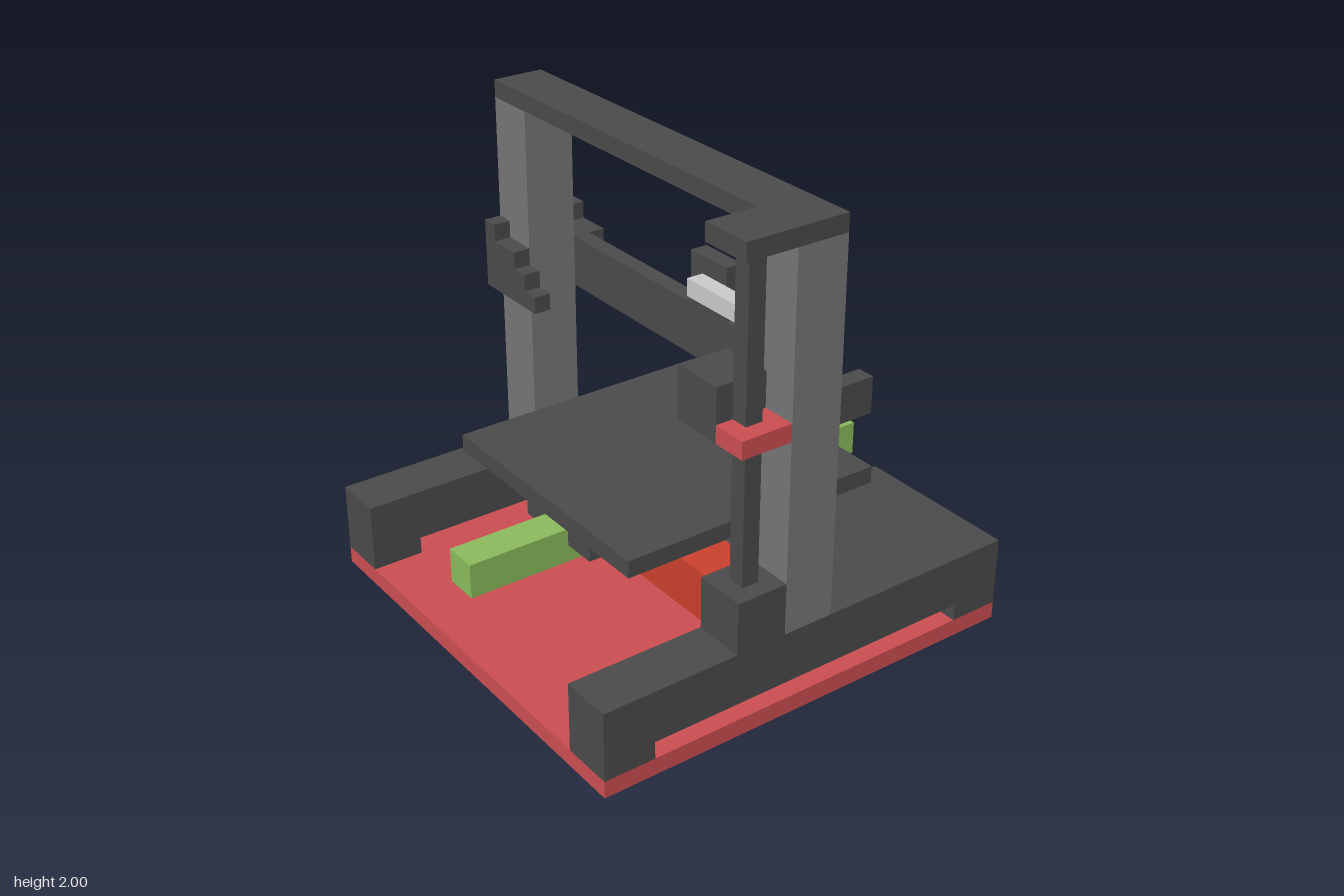
import * as THREE from 'three';

const U = 2 / 27; // grid unit: the printer is 27 units tall

export function createModel() {
  const model = new THREE.Group();
  model.name = 'printer';

  const mat = (name, color) => {
    const m = new THREE.MeshStandardMaterial({ color });
    m.name = name;
    return m;
  };
  const dark = mat('dark grey', 0x4a4a4a);
  const grey = mat('mid grey', 0x757575);
  const light = mat('light grey', 0xc9c9c9);
  const red = mat('red', 0xca4d51);
  const orange = mat('orange red', 0xc9402c);
  const green = mat('green', 0x89b95b);
  const blue = mat('blue', 0x237c91);

  // Box between two corners, in grid units
  const box = (name, material, [x0, x1], [y0, y1], [z0, z1]) => {
    const geo = new THREE.BoxGeometry((x1 - x0) * U, (y1 - y0) * U, (z1 - z0) * U);
    const mesh = new THREE.Mesh(geo, material);
    mesh.position.set((x0 + x1) * U / 2, (y0 + y1) * U / 2, (z0 + z1) * U / 2);
    mesh.name = name;
    model.add(mesh);
    return mesh;
  };

  // Outline in the given plane, extruded to a depth, in grid units
  const slab = (name, material, points, depth) => {
    const shape = new THREE.Shape(points.map(([a, b]) => new THREE.Vector2(a * U, b * U)));
    const geo = new THREE.ExtrudeGeometry(shape, { depth: depth * U, bevelEnabled: false });
    const mesh = new THREE.Mesh(geo, material);
    mesh.name = name;
    model.add(mesh);
    return mesh;
  };

  // Base and frame
  box('basePlate', red, [-13, 13], [0, 1], [-13, 13]);
  const railOutline = [[-13, 1], [-10, 1], [-10, 2], [10, 2], [10, 1], [13, 1], [13, 5], [-13, 5]];
  for (const [side, x] of [['right', -13], ['left', 10]]) {
    const rail = slab(side + 'FootRail', dark, railOutline, 3);
    rail.rotation.y = Math.PI / 2;
    rail.position.x = x * U;
    box(side + 'Upright', grey, [x, x + 3], [5, 26], [-1, 2]);
  }
  box('crossBar', orange, [-10, 10], [2, 5], [-1, 2]);
  box('electronicsBox', dark, [3, 10], [2, 5], [-13, -1]);
  box('topBar', dark, [-13, 13], [26, 27], [-1, 2]);
  box('topScrewBracket', dark, [10, 13], [26, 27], [2, 5]);

  // Bed on its rail
  box('bedRail', green, [-1, 1], [5, 7], [-13, 13]);
  box('bed', dark, [-8, 8], [8, 9], [-8, 8]);
  for (const sx of [-1, 1]) {
    for (const sz of [-1, 1]) {
      const span = (s, a, b) => (s > 0 ? [a, b] : [-b, -a]);
      box('bedClampFoot', dark, span(sx, 1, 3), [6, 7], span(sz, 5, 7));
      box('bedClampStem', dark, span(sx, 2, 3), [7, 8], span(sz, 6, 7));
    }
  }

  // Lift motor, lead screw and nut
  box('liftMotor', dark, [10, 13], [5, 8], [2, 5]);
  box('leadScrew', dark, [11, 12], [8, 26], [3, 4]);
  box('screwNut', red, [11, 13], [16, 17], [2, 5]);
  box('screwCarriage', dark, [8, 11], [16, 19], [2, 5]);
  box('leftGuide', dark, [12, 13], [16, 18], [-3, -1]);

  // Crossbeam with stepped clamps either side of the right upright
  box('beam', dark, [-10, 10], [15, 18], [-2, -1]);
  const clampOutline = [[-13, 15], [-8, 15], [-8, 16], [-9, 16], [-9, 17], [-10, 17],
    [-10, 18], [-12, 18], [-12, 19], [-13, 19]];
  slab('frontClamp', dark, clampOutline, 1).position.z = 2 * U;
  slab('backClamp', dark, clampOutline, 2).position.z = -3 * U;

  // Print head
  box('headPlate', dark, [1, 4], [18, 21], [-2, -1]);
  box('headPlate', dark, [7, 10], [18, 21], [-2, -1]);
  box('headFrontBar', light, [2, 9], [19, 20], [-1, 0]);
  box('headBackBar', grey, [2, 9], [19, 20], [-3, -2]);
  box('headStem', grey, [4, 7], [18, 19], [-3, -2]);
  box('headMotor', blue, [4, 7], [15, 18], [-5, -2]);
  box('nozzle', dark, [5, 6], [14, 15], [-4, -3]);

  return model;
}
